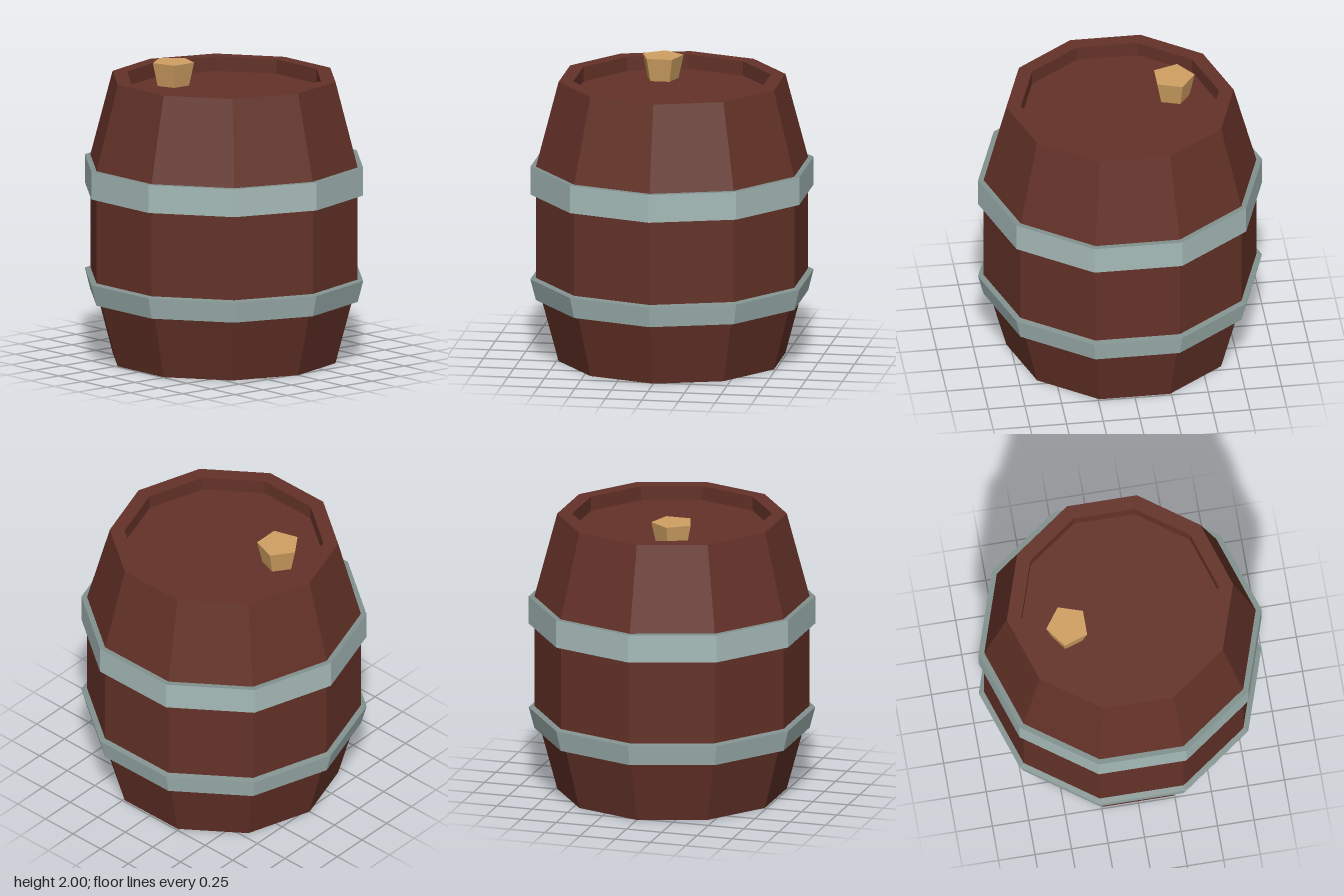
import * as THREE from 'three';

const SIDES = 10;

export function createModel() {
  const wood = new THREE.MeshStandardMaterial({ color: 0x643228 });
  const metal = new THREE.MeshStandardMaterial({ color: 0xa6bbb9 });
  const metalEdge = new THREE.MeshStandardMaterial({ color: 0x82928f });
  const cork = new THREE.MeshStandardMaterial({ color: 0xd0a062 });
  wood.name = 'dark wood';
  metal.name = 'grey metal';
  metalEdge.name = 'dark metal';
  cork.name = 'light wood';

  const model = new THREE.Group();
  model.name = 'barrel';

  // Faceted mesh: unshared corners give flat normals
  const addFlat = (name, geometry, material, parent) => {
    const flat = geometry.toNonIndexed();
    flat.computeVertexNormals();
    const mesh = new THREE.Mesh(flat, material);
    mesh.name = name;
    parent.add(mesh);
    return mesh;
  };
  const ring = (profile) =>
    new THREE.LatheGeometry(profile.map(([r, y]) => new THREE.Vector2(r, y)), SIDES);

  // Staved body with a sunken head at both ends
  addFlat('barrelBody', ring([
    [0, 0.1], [0.675, 0.1], [0.675, 0], [0.775, 0],
    [0.93, 0.58], [0.93, 1.355],
    [0.775, 1.94], [0.675, 1.94], [0.675, 1.84], [0, 1.84],
  ]), wood, model);

  // Hoops: outer face, plus darker upper and lower edges
  const hoops = [
    { name: 'lowerHoop', inner: [[0.888, 0.43], [0.928, 0.585]], outer: [[0.93, 0.43], [0.968, 0.575]] },
    { name: 'upperHoop', inner: [[0.928, 1.165], [0.925, 1.357]], outer: [[0.968, 1.165], [0.968, 1.357]] },
  ];
  for (const { name, inner, outer } of hoops) {
    const hoop = new THREE.Group();
    hoop.name = name;
    addFlat('hoopFace', ring(outer), metal, hoop);
    addFlat('hoopBottomEdge', ring([inner[0], outer[0]]), metalEdge, hoop);
    addFlat('hoopTopEdge', ring([outer[1], inner[1]]), metalEdge, hoop);
    model.add(hoop);
  }

  // Tapered five-sided stopper standing on the top head
  const stopper = addFlat('stopper', new THREE.CylinderGeometry(0.147, 0.112, 0.16, 5), cork, model);
  stopper.position.set(-0.13, 1.92, -0.38);
  stopper.rotation.y = Math.PI;

  return model;
}
